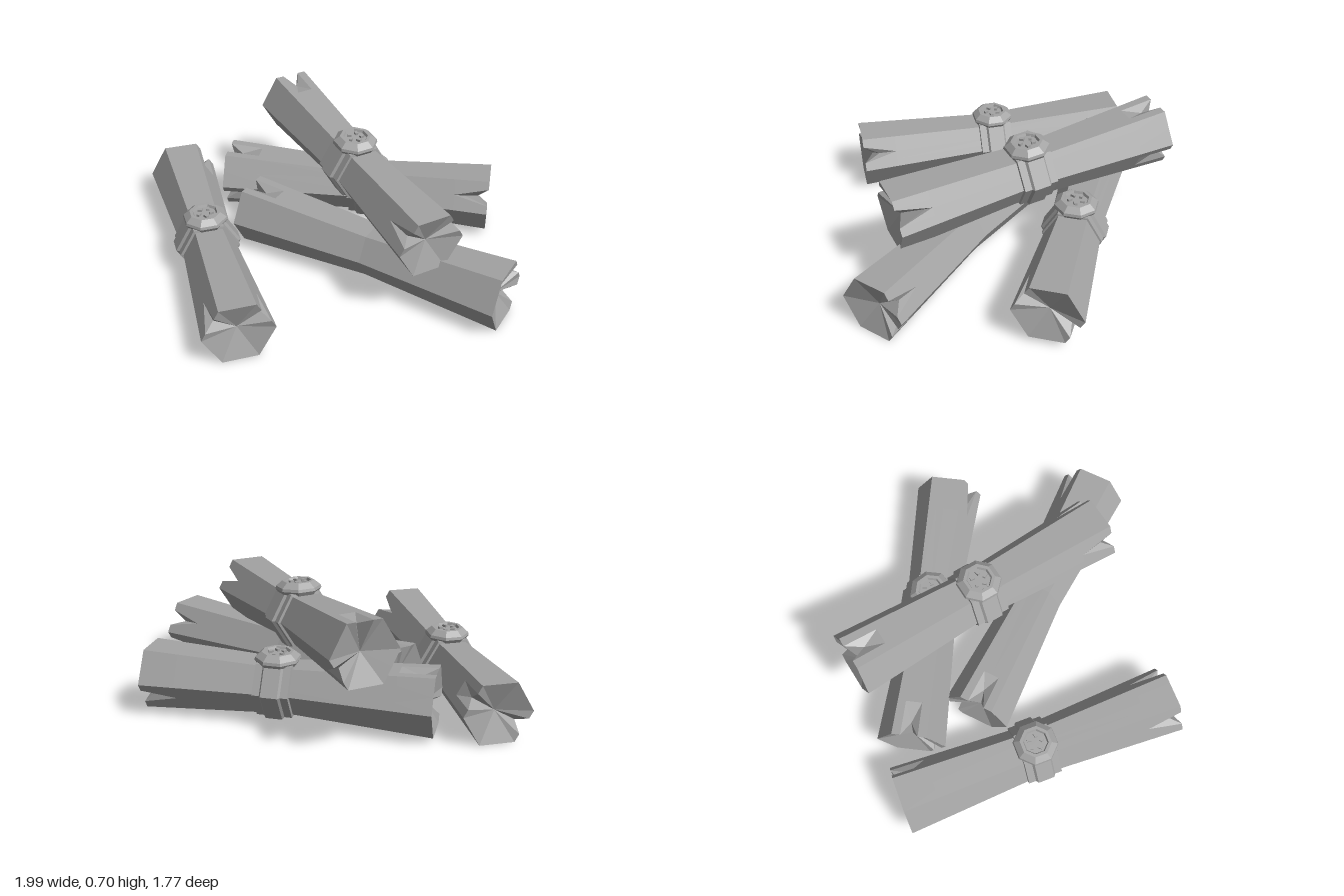
import * as THREE from 'three';

const stone = new THREE.MeshStandardMaterial({ color: 0xa3a3a3 });
stone.name = 'grey wood';

// Faceted mesh with hard edges
function facet(geometry, name) {
  const g = geometry.index ? geometry.toNonIndexed() : geometry;
  g.computeVertexNormals();
  const mesh = new THREE.Mesh(g, stone);
  mesh.name = name;
  return mesh;
}

const END = 0.187, WAIST = 0.143, PER = 4, N = 6 * PER;

// Six-sided log along z, narrow in the middle, with V-shaped splits at its ends.
// A split is [face, depth]; face 0 is upper right, 1 top, 2 upper left, and so on.
function logGeometry(length, backSplits, frontSplits) {
  const h = length / 2, pos = [], index = [];
  const stations = [-h, -h + 0.19, 0, h - 0.19, h];
  stations.forEach((z, s) => {
    const r = WAIST + (END - WAIST) * Math.abs(z) / h;
    const splits = s === 0 ? backSplits : s === 4 ? frontSplits : [];
    for (let i = 0; i < N; i++) {
      const k = Math.floor(i / PER), f = (i % PER) / PER;
      const a = k * Math.PI / 3, b = a + Math.PI / 3;
      let x = r * (Math.cos(a) * (1 - f) + Math.cos(b) * f);
      let y = r * (Math.sin(a) * (1 - f) + Math.sin(b) * f);
      let dz = 0;
      const split = splits.find(p => p[0] === k);
      if (split && f === 0.5) {
        dz = -Math.sign(z) * split[1];
        x *= 0.8;
        y *= 0.8;
      }
      pos.push(x, y, z + dz);
    }
  });
  for (let s = 0; s < 4; s++) {
    for (let i = 0; i < N; i++) {
      const a = s * N + i, b = s * N + (i + 1) % N;
      if (i % 2) index.push(a, b, a + N, b, b + N, a + N);
      else index.push(a, b, b + N, a, b + N, a + N);
    }
  }
  // Hollowed ends
  const back = pos.length / 3, front = back + 1;
  pos.push(0, 0, -h + 0.06, 0, 0, h - 0.06);
  for (let i = 0; i < N; i++) {
    const j = (i + 1) % N;
    index.push(back, j, i, front, 4 * N + i, 4 * N + j);
  }
  const g = new THREE.BufferGeometry();
  g.setAttribute('position', new THREE.Float32BufferAttribute(pos, 3));
  g.setIndex(index);
  return g;
}

const lathe = (points, sides, start = 0) =>
  new THREE.LatheGeometry(points.map(p => new THREE.Vector2(...p)), sides, start);

// Stepped hexagonal strap around the log
function makeBand() {
  const g = lathe([
    [0.13, -0.1], [0.163, -0.095], [0.163, -0.055], [0.178, -0.045],
    [0.178, 0.045], [0.163, 0.055], [0.163, 0.095], [0.13, 0.1],
  ], 6, Math.PI / 6);
  g.rotateX(Math.PI / 2);
  return facet(g, 'band');
}

// Eight-sided stud with a sunken centre and small raised chips
function makeStud() {
  const stud = new THREE.Group();
  stud.name = 'stud';
  stud.add(facet(lathe([
    [0.105, 0.125], [0.122, 0.15], [0.118, 0.165], [0.085, 0.192],
    [0.068, 0.192], [0.062, 0.178], [0, 0.178],
  ], 8, Math.PI / 8), 'studBody'));
  for (let i = 0; i < 5; i++) {
    const a = i * Math.PI * 0.4 + 0.3;
    const chip = facet(new THREE.BoxGeometry(0.024, 0.016, 0.016), 'studChip');
    chip.position.set(0.036 * Math.cos(a), 0.183, 0.036 * Math.sin(a));
    chip.rotation.y = -a + 0.5;
    stud.add(chip);
  }
  return stud;
}

// Log between two end centres; the strap sits at fraction t of the length
function makeLog({ name, from, to, back, front, t }) {
  const a = new THREE.Vector3(...from), b = new THREE.Vector3(...to);
  const group = new THREE.Group();
  group.name = name;
  const length = a.distanceTo(b);
  group.add(facet(logGeometry(length, back, front), 'log'));
  if (t !== undefined) {
    const strap = new THREE.Group();
    strap.name = 'strap';
    strap.position.z = (t - 0.5) * length;
    strap.add(makeBand(), makeStud());
    group.add(strap);
  }
  group.position.copy(a).add(b).multiplyScalar(0.5);
  const z = b.clone().sub(a).normalize();
  const x = new THREE.Vector3(0, 1, 0).cross(z).normalize();
  const y = z.clone().cross(x);
  group.quaternion.setFromRotationMatrix(new THREE.Matrix4().makeBasis(x, y, z));
  return group;
}

export function createModel() {
  const model = new THREE.Group();
  model.name = 'logPile';
  const logs = [
    { name: 'rightLog', from: [-0.81, 0.18, -0.72], to: [-0.56, 0.18, 0.83], t: 0.49,
      back: [[0, 0.09], [3, 0.06]], front: [[0, 0.09], [2, 0.06]] },
    { name: 'frontLog', from: [-0.42, 0.19, -0.23], to: [0.8, 0.18, 0.73],
      back: [[1, 0.1], [5, 0.06]], front: [[0, 0.08], [5, 0.06]] },
    { name: 'backLog', from: [-0.52, 0.21, -0.61], to: [0.94, 0.21, -0.12], t: 0.54,
      back: [[1, 0.08], [3, 0.08]], front: [[2, 0.13], [5, 0.06]] },
    { name: 'topLog', from: [-0.13, 0.56, -0.83], to: [0.42, 0.46, 0.63], t: 0.5,
      back: [[1, 0.09], [5, 0.06]], front: [[0, 0.16], [2, 0.06]] },
  ];
  logs.forEach(l => model.add(makeLog(l)));
  return model;
}
